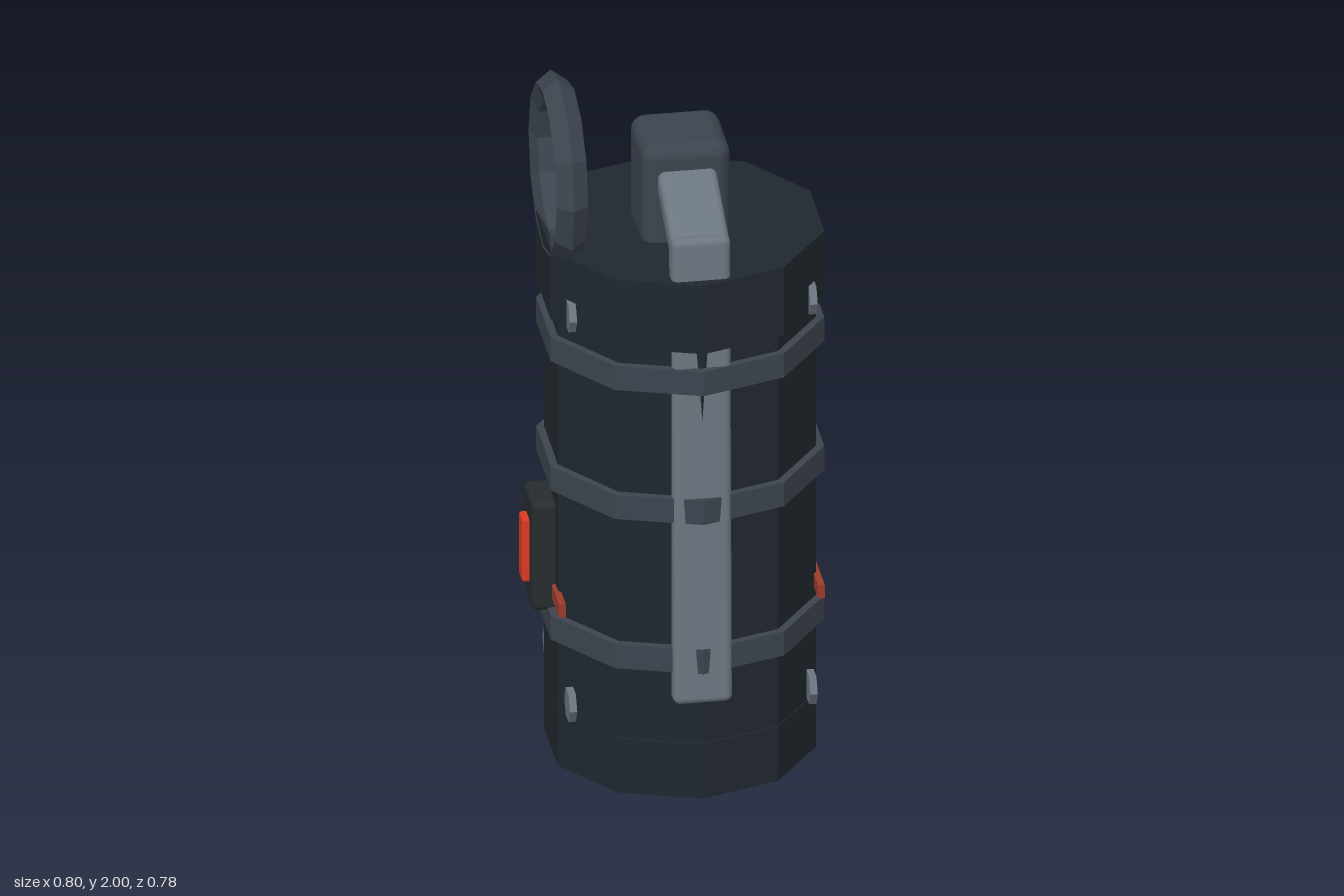
import * as THREE from 'three';
import { RoundedBoxGeometry } from 'three/addons/geometries/RoundedBoxGeometry.js';

const CX = 0.03; // axis of the ten-sided body

const mat = (color, flatShading = true) => new THREE.MeshStandardMaterial({ color, flatShading });
const shell = mat(0x20272f);
const steel = mat(0x3c444e);
const steelSmooth = mat(0x3c444e, false);
const leverMetal = mat(0x6c7680, false);
const boltMetal = mat(0x6c7680);
const gripDark = mat(0x262c2f, false);
const stripRed = mat(0x9c3c2c);
const buttonRed = mat(0xdc3a24, false);

export function createModel() {
  const model = new THREE.Group();
  model.name = 'canister';

  const add = (name, geometry, material, x, y, z) => {
    const mesh = new THREE.Mesh(geometry, material);
    mesh.name = name;
    mesh.position.set(x, y, z);
    model.add(mesh);
    return mesh;
  };

  // Ten-sided section between two heights
  const section = (name, radius, y0, y1, material) =>
    add(name, new THREE.CylinderGeometry(radius, radius, y1 - y0, 10), material, CX, (y0 + y1) / 2, 0);

  const rounded = (name, w, h, d, r, material, x, y, z) =>
    add(name, new RoundedBoxGeometry(w, h, d, 3, r), material, x, y, z);

  // Canister: base, body and cap, with a hairline seam above the base
  section('base', 0.368, 0, 0.162, shell);
  section('body', 0.368, 0.166, 1.36, shell);
  section('cap', 0.39, 1.345, 1.55, shell);

  // Raised bands
  for (const y of [0.42, 0.868, 1.255]) section('band', 0.39, y - 0.036, y + 0.036, steel);

  // Fuse block on top
  rounded('fuseBlock', 0.24, 0.33, 0.24, 0.04, steelSmooth, CX, 1.665, 0);

  // Safety lever: sloping arm, then a long strap leaning slightly out at the foot
  rounded('leverArm', 0.16, 0.07, 0.31, 0.02, leverMetal, CX, 1.69, 0.195).rotation.x = 0.42;
  rounded('leverStrap', 0.16, 1.38, 0.07, 0.02, leverMetal, CX, 0.98, 0.3365).rotation.x = -0.023;

  // Pull ring standing at the right side of the cap
  add('pullRing', new THREE.TorusGeometry(0.22, 0.045, 5, 12), steel, -0.3, 1.735, 0).rotation.y = Math.PI / 2;

  // Hexagonal bolts and red strips, mirrored on both sides
  const boltGeometry = new THREE.CylinderGeometry(0.047, 0.047, 0.02, 6);
  boltGeometry.rotateZ(Math.PI / 2);
  const stripGeometry = new THREE.BoxGeometry(0.018, 0.04, 0.39);
  for (const side of [-1, 1]) {
    for (const y of [0.215, 1.385])
      for (const z of [-0.18, 0.18]) add('bolt', boltGeometry, boltMetal, CX + side * 0.326, y, z);
    add('redStrip', stripGeometry, stripRed, CX + side * 0.351, 0.505, 0);
  }

  // Switch box with red button on the right side
  rounded('switchBox', 0.075, 0.325, 0.15, 0.018, gripDark, -0.346, 0.607, 0);
  rounded('button', 0.04, 0.19, 0.056, 0.008, buttonRed, -0.383, 0.607, 0);

  return model;
}
